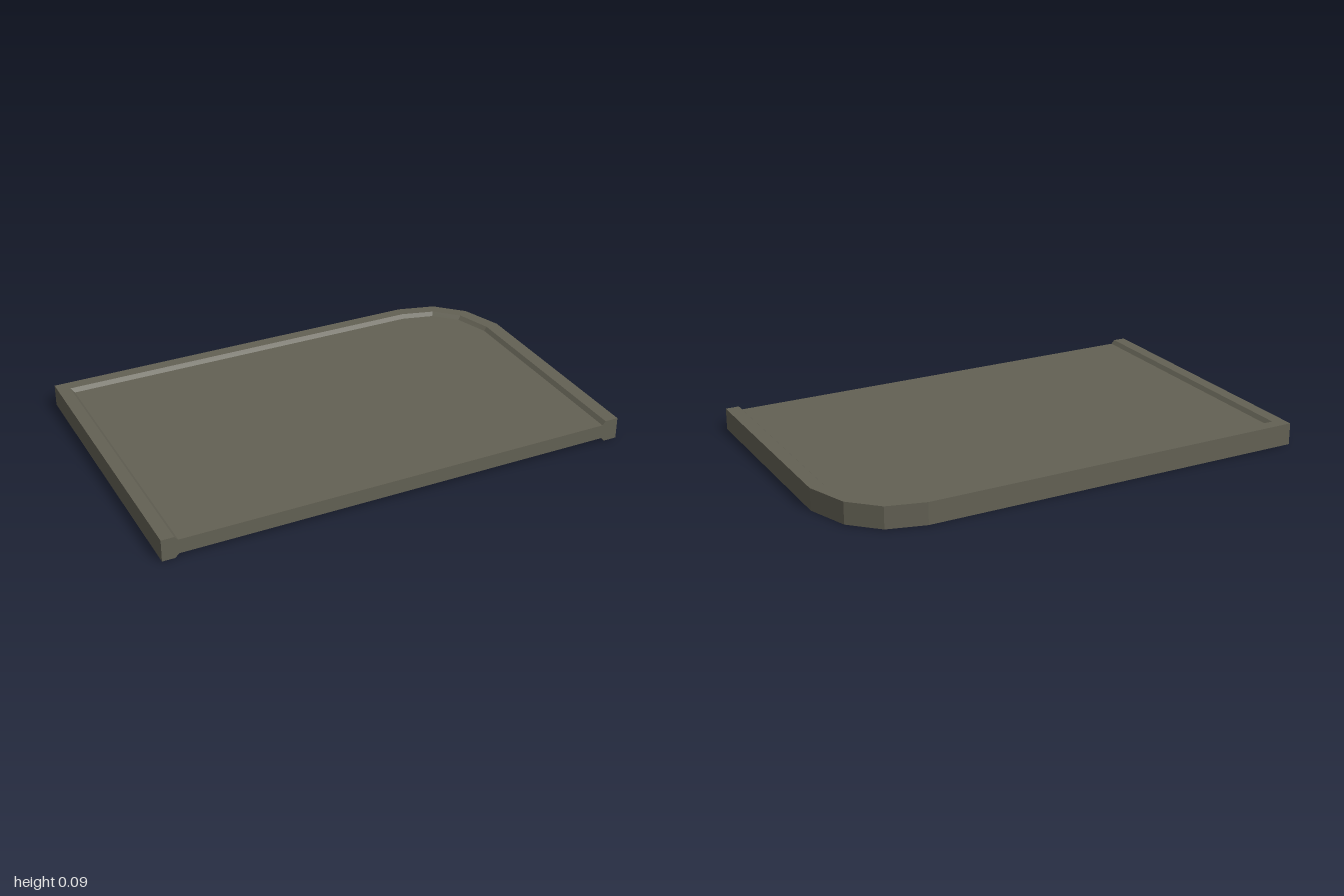
import * as THREE from 'three';

const HEIGHT = 0.093;
const STEP = 0.016; // recess of the panel below the rim, top and bottom

// Plan outlines (x, z) from front left corner, around the back, to front right
const OUTER = [[-1, 0.64], [-1, -0.64], [0.665, -0.64], [0.825, -0.597], [0.938, -0.487], [1, -0.312], [1, 0.64]];
const INNER = [[-0.947, 0.64], [-0.947, -0.588], [0.657, -0.588], [0.797, -0.55], [0.892, -0.458], [0.942, -0.306], [0.942, 0.64]];
const PANEL = [[-0.932, 0.64], [-0.932, -0.573], [0.652, -0.573], [0.788, -0.538], [0.878, -0.45], [0.928, -0.302], [0.928, 0.64]];

// Rim: a bevelled six-sided section carried along the three closed sides
function rimGeometry() {
  const sections = OUTER.map((o, i) => [
    [PANEL[i], STEP], [INNER[i], 0], [o, 0],
    [o, HEIGHT], [INNER[i], HEIGHT], [PANEL[i], HEIGHT - STEP],
  ].map(([p, y]) => [p[0], y, p[1]]));
  const positions = [];
  const tri = (...points) => points.forEach((p) => positions.push(...p));
  for (let i = 0; i < sections.length - 1; i++) {
    const a = sections[i], b = sections[i + 1];
    for (let k = 0; k < 5; k++) {
      tri(a[k], a[k + 1], b[k + 1]);
      tri(a[k], b[k + 1], b[k]);
    }
  }
  // Front ends of the rim
  const first = sections[0], last = sections[sections.length - 1];
  for (let k = 1; k < 5; k++) {
    tri(first[0], first[k + 1], first[k]);
    tri(last[0], last[k], last[k + 1]);
  }
  const geometry = new THREE.BufferGeometry();
  geometry.setAttribute('position', new THREE.Float32BufferAttribute(positions, 3));
  geometry.computeVertexNormals();
  return geometry;
}

// Panel: flat slab filling the rim, flush with its open front
function panelGeometry() {
  const shape = new THREE.Shape(PANEL.map(([x, z]) => new THREE.Vector2(x, -z)));
  const geometry = new THREE.ExtrudeGeometry(shape, { depth: HEIGHT - 2 * STEP, bevelEnabled: false });
  return geometry.rotateX(-Math.PI / 2).translate(0, STEP, 0);
}

export function createModel() {
  const group = new THREE.Group();
  group.name = 'roundedCornerPanel';
  const material = new THREE.MeshStandardMaterial({ color: 0x636154 });
  material.name = 'olive grey';

  const rim = new THREE.Mesh(rimGeometry(), material);
  rim.name = 'rim';
  const panel = new THREE.Mesh(panelGeometry(), material);
  panel.name = 'panel';
  group.add(rim, panel);
  return group;
}
